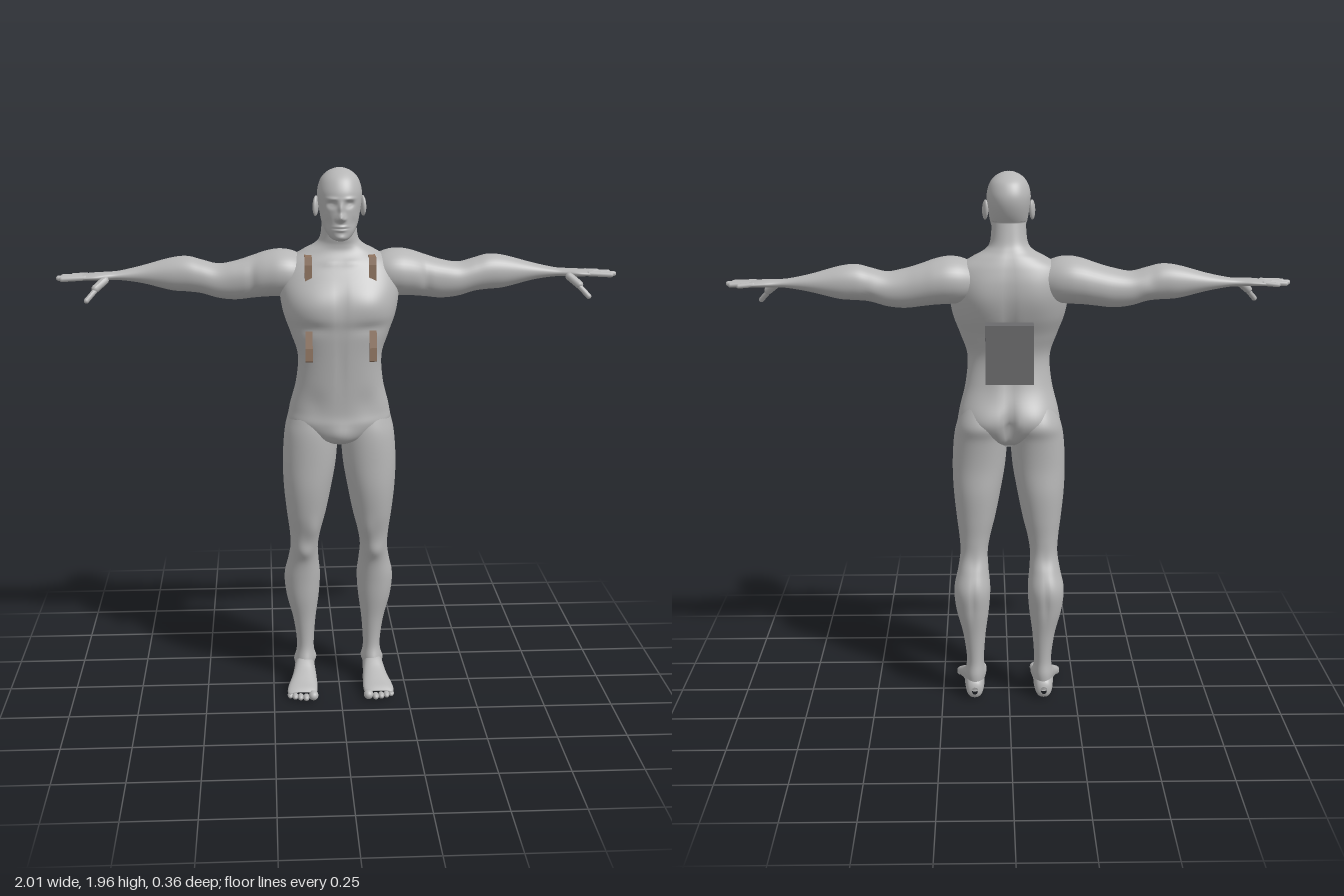
import * as THREE from 'three';

const skin = new THREE.MeshStandardMaterial({ name: 'skin grey', color: 0xb6b6b6 });
const packGrey = new THREE.MeshStandardMaterial({ name: 'pack dark grey', color: 0x6a6a6c });
const strapBrown = new THREE.MeshStandardMaterial({ name: 'strap brown', color: 0x8f7460, side: THREE.DoubleSide });

// Catmull-Rom between neighbouring cross-sections
function sample(rows, u) {
  const n = rows.length - 1, i = Math.min(Math.floor(u * n), n - 1), t = u * n - i;
  const [p, q, r, s] = [-1, 0, 1, 2].map(k => rows[Math.min(Math.max(i + k, 0), n)]);
  return q.map((_, k) => 0.5 * (2 * q[k] + (r[k] - p[k]) * t
    + (2 * p[k] - 5 * q[k] + 4 * r[k] - s[k]) * t * t
    + (3 * q[k] - p[k] - 3 * r[k] + s[k]) * t * t * t));
}

// Soft muscle and feature shaping; bump = [x, y, z, rx, ry, rz, height]
function sculpt(geo, bumps, along) {
  const pos = geo.attributes.position, nor = geo.attributes.normal;
  for (let i = 0; i < pos.count; i++) {
    const p = new THREE.Vector3().fromBufferAttribute(pos, i);
    const n = along || new THREE.Vector3().fromBufferAttribute(nor, i);
    let d = 0;
    for (const [x, y, z, rx, ry, rz, h] of bumps)
      d += h * Math.exp(-(((p.x - x) / rx) ** 2) - ((p.y - y) / ry) ** 2 - ((p.z - z) / rz) ** 2);
    pos.setXYZ(i, p.x + n.x * d, p.y + n.y * d, p.z + n.z * d);
  }
  geo.computeVertexNormals();
  return geo;
}

// Loft along an axis; row = [t, aMin, aMax, bMin, bMax], with a and b the two cross axes
const PLACE = {
  y: (t, a, b) => [a, t, b],
  x: (t, a, b) => [t, b, a],
  z: (t, a, b) => [b, a, t],
};
function loft(axis, rows, rings, segs, power = 2) {
  const pts = [], idx = [], place = PLACE[axis];
  const bend = v => Math.sign(v) * Math.abs(v) ** (2 / power);
  for (let i = 0; i <= rings; i++) {
    const [t, a0, a1, b0, b1] = sample(rows, i / rings);
    for (let j = 0; j < segs; j++) {
      const w = (j / segs) * Math.PI * 2;
      pts.push(...place(t, (a0 + a1) / 2 + (a1 - a0) / 2 * bend(Math.cos(w)),
        (b0 + b1) / 2 + (b1 - b0) / 2 * bend(Math.sin(w))));
    }
  }
  for (let i = 0; i < rings; i++) for (let j = 0; j < segs; j++) {
    const k = (j + 1) % segs, a = i * segs + j, b = i * segs + k;
    idx.push(a, a + segs, b, b, a + segs, b + segs);
  }
  const ends = [rows[0], rows[rows.length - 1]];
  ends.forEach(([t, a0, a1, b0, b1], e) => {
    const c = pts.length / 3, o = e * rings * segs;
    pts.push(...place(t, (a0 + a1) / 2, (b0 + b1) / 2));
    for (let j = 0; j < segs; j++) {
      const k = (j + 1) % segs;
      e ? idx.push(c, o + k, o + j) : idx.push(c, o + j, o + k);
    }
  });
  // ring order runs from a to b, so end fans face outwards when reversed
  for (let f = rings * segs * 6; f < idx.length; f += 3) [idx[f + 1], idx[f + 2]] = [idx[f + 2], idx[f + 1]];
  const geo = new THREE.BufferGeometry();
  geo.setAttribute('position', new THREE.Float32BufferAttribute(pts, 3));
  geo.setIndex(idx);
  // make the winding face outwards
  geo.computeVertexNormals();
  return geo;
}

function mirrored(geo) {
  const g = geo.clone().scale(-1, 1, 1), ix = g.index.array;
  for (let i = 0; i < ix.length; i += 3) [ix[i + 1], ix[i + 2]] = [ix[i + 2], ix[i + 1]];
  g.computeVertexNormals();
  return g;
}

const both = list => list.flatMap(b => [b, [-b[0], ...b.slice(1)]]);
const sym = rows => rows.map(([y, w, zf, zb]) => [y, -w, w, zb, zf]);

function ellipsoid(x, y, z, rx, ry, rz) {
  return new THREE.SphereGeometry(1, 20, 14).scale(rx, ry, rz).translate(x, y, z);
}

function digit(from, to, r) {
  const a = new THREE.Vector3(...from), b = new THREE.Vector3(...to), d = b.clone().sub(a);
  const g = new THREE.CapsuleGeometry(r, d.length() - r, 6, 12);
  const q = new THREE.Quaternion().setFromUnitVectors(new THREE.Vector3(0, 1, 0), d.normalize());
  return g.applyQuaternion(q).translate(...a.add(b).multiplyScalar(0.5).toArray());
}

export function createModel() {
  const model = new THREE.Group();
  model.name = 'figure';
  const add = (name, geo, mat = skin) => {
    const m = new THREE.Mesh(geo, mat);
    m.name = name;
    model.add(m);
  };
  const pair = (name, geo, mat) => {
    add('left ' + name, geo, mat);
    add('right ' + name, mirrored(geo), mat);
  };

  // Torso and neck: y, half width, front z, back z
  const torso = loft('y', sym([
    [0.975, 0.04, 0.09, -0.04], [1.0, 0.11, 0.122, -0.08], [1.05, 0.18, 0.132, -0.108],
    [1.1, 0.181, 0.13, -0.11], [1.2, 0.157, 0.138, -0.075], [1.3, 0.15, 0.148, -0.058],
    [1.38, 0.175, 0.157, -0.08], [1.45, 0.2, 0.164, -0.112], [1.52, 0.212, 0.15, -0.13],
    [1.58, 0.21, 0.118, -0.132], [1.63, 0.185, 0.085, -0.122], [1.665, 0.13, 0.062, -0.108],
    [1.69, 0.085, 0.058, -0.092], [1.72, 0.066, 0.064, -0.078], [1.79, 0.06, 0.07, -0.062],
  ]), 100, 80, 2.3);
  add('torso', sculpt(torso, [
    ...both([
      [0.1, 1.49, 0.15, 0.08, 0.055, 0.06, 0.012],     // chest muscles
      [0.1, 1.41, 0.15, 0.07, 0.02, 0.06, -0.006],
      [0.1, 1.53, -0.13, 0.06, 0.08, 0.05, 0.008],     // shoulder blades
      [0.085, 1.07, -0.1, 0.06, 0.06, 0.06, 0.012],    // buttocks
      [0.09, 1.13, 0.11, 0.04, 0.05, 0.05, -0.006],    // groin creases
      [0.035, 1.63, 0.07, 0.03, 0.012, 0.05, 0.005],   // collar bones
      [0.045, 1.28, -0.06, 0.03, 0.1, 0.05, 0.007],    // lower back
    ]),
    [0, 1.49, 0.16, 0.015, 0.07, 0.06, -0.006],
    [0, 1.28, 0.15, 0.012, 0.12, 0.05, -0.004],
    [0, 1.4, -0.1, 0.018, 0.2, 0.08, -0.01],
    [0, 1.05, -0.11, 0.016, 0.06, 0.06, -0.035],
    [0, 1.02, 0.12, 0.035, 0.03, 0.05, 0.012],
  ]));

  // Head: y, half width, front z, back z
  const head = loft('y', sym([
    [1.712, 0.015, 0.118, 0.07], [1.722, 0.034, 0.133, 0.045], [1.745, 0.052, 0.137, 0.005],
    [1.775, 0.064, 0.137, -0.03], [1.81, 0.071, 0.137, -0.054], [1.85, 0.077, 0.139, -0.068],
    [1.885, 0.077, 0.134, -0.067], [1.92, 0.066, 0.115, -0.05], [1.943, 0.046, 0.088, -0.02],
    [1.956, 0.02, 0.056, 0.012], [1.959, 0.003, 0.037, 0.031],
  ]), 110, 112, 2.15);
  add('head', sculpt(head, [
    [0, 1.795, 0.14, 0.012, 0.013, 0.05, 0.026],       // nose tip and bridge
    [0, 1.822, 0.14, 0.008, 0.022, 0.05, 0.012],
    [0, 1.764, 0.14, 0.02, 0.005, 0.04, 0.006],        // lips
    [0, 1.752, 0.14, 0.017, 0.005, 0.04, 0.006],
    [0, 1.758, 0.14, 0.024, 0.002, 0.04, -0.004],
    [0, 1.726, 0.13, 0.018, 0.01, 0.04, 0.006],        // chin
    ...both([
      [0.031, 1.84, 0.13, 0.015, 0.011, 0.04, -0.014], // eye sockets
      [0.031, 1.838, 0.13, 0.009, 0.006, 0.04, 0.005],
      [0.032, 1.859, 0.13, 0.018, 0.006, 0.04, 0.006], // brows
      [0.013, 1.79, 0.14, 0.006, 0.006, 0.04, 0.006],  // nostrils
      [0.045, 1.775, 0.11, 0.014, 0.02, 0.05, -0.005], // cheeks
    ]),
  ], new THREE.Vector3(0, 0, 1)));
  pair('ear', ellipsoid(0, 0, 0, 0.01, 0.036, 0.02).rotateX(-0.15).rotateY(0.3).translate(0.083, 1.825, 0.022));

  // Legs: y, inner x, outer x, back z, front z
  const leg = loft('y', [
    [0.03, 0.1, 0.16, -0.095, 0.02], [0.09, 0.092, 0.165, -0.104, 0.018], [0.15, 0.095, 0.159, -0.098, 0.002],
    [0.25, 0.088, 0.172, -0.105, 0.008], [0.35, 0.075, 0.197, -0.122, 0.025], [0.43, 0.07, 0.204, -0.13, 0.035],
    [0.5, 0.076, 0.19, -0.106, 0.046], [0.56, 0.079, 0.181, -0.084, 0.064], [0.62, 0.07, 0.184, -0.08, 0.076],
    [0.7, 0.05, 0.194, -0.087, 0.1], [0.8, 0.03, 0.204, -0.094, 0.117], [0.9, 0.013, 0.207, -0.091, 0.121],
    [1.0, 0.006, 0.201, -0.1, 0.121], [1.06, 0.008, 0.189, -0.113, 0.112], [1.13, 0.03, 0.165, -0.08, 0.09],
  ], 90, 48, 2.1);
  pair('leg', sculpt(leg, [
    [0.13, 0.55, 0.065, 0.025, 0.03, 0.03, 0.008],     // kneecap
    [0.1, 0.64, 0.08, 0.025, 0.05, 0.04, 0.008],       // inner thigh muscle
    [0.135, 0.54, -0.09, 0.025, 0.05, 0.04, -0.006],   // knee hollow
    [0.135, 0.4, -0.13, 0.01, 0.07, 0.04, -0.006],     // calf split
    [0.17, 0.085, -0.04, 0.02, 0.016, 0.02, 0.007],    // ankle bones
    [0.09, 0.095, -0.04, 0.02, 0.016, 0.02, 0.007],
  ]));

  // Feet: z, bottom y, top y, inner x, outer x
  pair('foot', loft('z', [
    [-0.112, 0.025, 0.05, 0.12, 0.14], [-0.1, 0.008, 0.075, 0.102, 0.158], [-0.06, 0.003, 0.1, 0.094, 0.166],
    [0, 0.006, 0.108, 0.092, 0.17], [0.05, 0.008, 0.08, 0.088, 0.18], [0.1, 0.003, 0.054, 0.086, 0.196],
    [0.13, 0.004, 0.04, 0.089, 0.199], [0.148, 0.012, 0.028, 0.1, 0.19],
  ], 32, 36, 2.3));
  [[0.103, 0.155, 0.018], [0.13, 0.157, 0.012], [0.151, 0.151, 0.0115], [0.171, 0.143, 0.011], [0.189, 0.132, 0.011]]
    .forEach(([x, z, r], i) => pair('toe ' + (i + 1), ellipsoid(x, r + 0.001, z, r, r, 0.021)));

  // Arms: x, back z, front z, bottom y, top y
  const arm = loft('x', [
    [0.1, -0.09, 0.04, 1.53, 1.63], [0.16, -0.122, 0.07, 1.505, 1.66], [0.21, -0.134, 0.076, 1.5, 1.668],
    [0.26, -0.133, 0.066, 1.498, 1.66], [0.31, -0.125, 0.05, 1.493, 1.643], [0.37, -0.115, 0.038, 1.487, 1.624],
    [0.43, -0.109, 0.03, 1.493, 1.615], [0.49, -0.105, 0.025, 1.51, 1.63], [0.54, -0.108, 0.021, 1.516, 1.642],
    [0.6, -0.106, 0.012, 1.521, 1.636], [0.7, -0.092, -0.008, 1.546, 1.609], [0.78, -0.073, -0.012, 1.559, 1.592],
    [0.82, -0.07, -0.004, 1.56, 1.589], [0.86, -0.078, 0.013, 1.561, 1.587], [0.9, -0.081, 0.013, 1.562, 1.583],
    [0.92, -0.075, 0.006, 1.566, 1.578],
  ], 90, 40, 2.1);
  pair('arm', sculpt(arm, [
    [0.37, 1.6, 0.02, 0.06, 0.04, 0.05, 0.006],        // biceps
    [0.31, 1.56, 0.05, 0.015, 0.06, 0.05, -0.005],     // shoulder crease
    [0.48, 1.56, -0.1, 0.025, 0.02, 0.03, 0.004],      // elbow
  ]));
  [[-0.07, 0.952, -0.078, 0.0085], [-0.046, 0.985, -0.05, 0.0095], [-0.022, 0.998, -0.018, 0.0095], [0.002, 0.982, 0.01, 0.0095]]
    .forEach(([z0, x, z1, r], i) => pair('finger ' + (i + 1), digit([0.895, 1.574, z0], [x, 1.57, z1], r)));
  pair('thumb base', digit([0.825, 1.568, -0.005], [0.865, 1.535, 0.03], 0.0145));
  pair('thumb', digit([0.855, 1.54, 0.025], [0.893, 1.498, 0.056], 0.0095));

  // Strap pieces: thin bent plates following a (y, z) path
  const strap = (name, path) => {
    const s = new THREE.Shape();
    const t = 0.002;
    path.forEach(([y, z], i) => (i ? s.lineTo(z + t, y + t) : s.moveTo(z + t, y + t)));
    [...path].reverse().forEach(([y, z]) => s.lineTo(z - t, y - t));
    const g = new THREE.ExtrudeGeometry(s, { depth: 0.025, bevelEnabled: false });
    g.rotateY(-Math.PI / 2);                           // shape x becomes z, depth becomes -x
    for (const [side, x] of [['left ', 0.125], ['right ', -0.1]])
      add(side + name, g.clone().translate(x, 0, 0), strapBrown);
  };
  strap('upper strap', [[1.568, 0.104], [1.625, 0.104], [1.653, 0.098], [1.653, 0.03]]);
  strap('lower strap', [[1.295, 0.156], [1.34, 0.154], [1.4, 0.14]]);

  // Back pack
  add('back pack', new THREE.BoxGeometry(0.17, 0.21, 0.066).translate(0, 1.34, -0.144), packGrey);
  return model;
}
